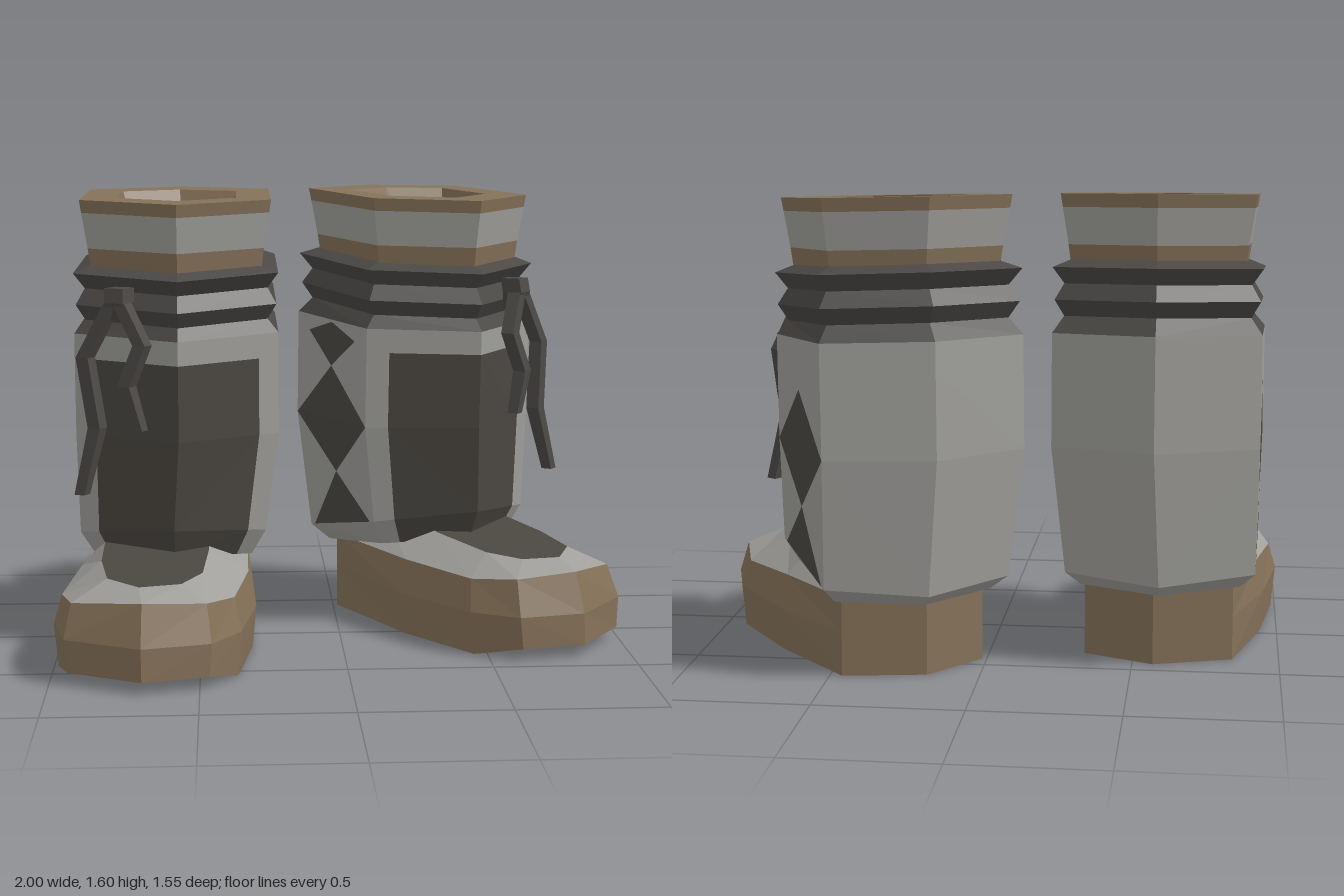
import * as THREE from 'three';

const mat = (name, color) => Object.assign(new THREE.MeshStandardMaterial({ color, flatShading: true, side: THREE.DoubleSide }), { name });
const V = (x, y, z) => new THREE.Vector3(x, y, z);
const mix = (a, b, t) => a.clone().lerp(b, t);

// Six-sided leg outline: front, inner front, inner back, back, outer back, outer front
const HEX = [[0, 0.41], [0.34, 0.2], [0.34, -0.28], [0, -0.39], [-0.34, -0.26], [-0.355, 0.2]];
const hexRing = (y, s, tilt = 0, dx = 0, dz = 0) =>
  HEX.map(([x, z]) => V(x * s + dx, y + z * s * tilt, z * s + dz));

// Foot outline at its widest, with the height of the sole's top edge at each corner
const SOLE = [[-0.12, 0.89, 0.29], [0.11, 0.83, 0.275], [0.21, 0.67, 0.26], [0.265, 0.3, 0.27], [0.24, -0.2, 0.28],
  [0, -0.31, 0.27], [-0.27, -0.22, 0.27], [-0.38, 0.15, 0.27], [-0.43, 0.52, 0.245], [-0.38, 0.75, 0.265]];
// Outline of the panel on top of the toes
const PANEL = [[-0.13, 0.72], [0.01, 0.69], [0.08, 0.57], [0.1, 0.3], [0.1, -0.1],
  [0, -0.15], [-0.2, -0.1], [-0.27, 0.15], [-0.27, 0.42], [-0.24, 0.62]];
const soleRing = (sx, sz, yOf) => SOLE.map(([x, z, top]) => (z > 0
  ? V(-0.08 + (x + 0.08) * sx, yOf(z, top), 0.1 + (z - 0.1) * sz)
  : V(x, yOf(z, top), z)));

// Triangle helpers: each returns a flat list of corners
const quad = (a, b, c, d) => [a, b, c, a, c, d];
function loft(rings) {
  const out = [];
  for (let i = 0; i + 1 < rings.length; i++) {
    const a = rings[i], b = rings[i + 1], n = a.length;
    for (let k = 0; k < n; k++) out.push(...quad(a[k], a[(k + 1) % n], b[(k + 1) % n], b[k]));
  }
  return out;
}
function cap(ring, up) {
  const c = ring.reduce((s, p) => s.add(p), V(0, 0, 0)).divideScalar(ring.length);
  return ring.flatMap((p, k) => {
    const q = ring[(k + 1) % ring.length];
    return up ? [c, p, q] : [c, q, p];
  });
}
// Square-section cord through points listed from the bottom up
function cord(points, w) {
  const rings = points.map(([x, y, z], i) => {
    const r = i === 0 ? w * 0.8 : w;
    return [[0.3, 1], [1, -0.3], [-0.3, -1], [-1, 0.3]].map(([a, b]) => V(x + a * r, y, z + b * r));
  });
  return [...cap(rings[0], false), ...loft(rings), ...cap(rings[rings.length - 1], true)];
}

function makeBoot(m, mirrored) {
  const boot = new THREE.Group();
  const add = (name, material, tris) => {
    const pos = [];
    for (let i = 0; i < tris.length; i += 3) {
      const t = mirrored ? [tris[i], tris[i + 2], tris[i + 1]] : tris.slice(i, i + 3);
      t.forEach((p) => pos.push(mirrored ? -p.x : p.x, p.y, p.z));
    }
    const g = new THREE.BufferGeometry();
    g.setAttribute('position', new THREE.Float32BufferAttribute(pos, 3));
    g.computeVertexNormals();
    const mesh = new THREE.Mesh(g, material);
    mesh.name = name;
    boot.add(mesh);
  };

  // Sole and foot
  const base = soleRing(0.96, 1, (z) => (z > 0.7 ? 0.04 : 0));
  const middle = soleRing(1, 0.99, () => 0.15);
  const rim = soleRing(0.92, 0.93, (z, top) => top);
  const panel = PANEL.map(([x, z]) => V(x, 0.38 - 0.085 * z, z));
  add('sole', m.brown, [...cap(base, false), ...loft([base, middle, rim])]);
  add('footUpper', m.grey, loft([rim, panel]));
  add('toePanel', m.dark, cap(panel, true));

  // Leg shaft, face by face
  const L0 = hexRing(0.285, 0.8, 0.13, -0.02, -0.01);
  const L1 = hexRing(0.36, 0.95, 0.19, -0.02, -0.02);
  const L2 = hexRing(0.75, 1.03, 0, 0, -0.02);
  const L3 = hexRing(1.12, 1.03, -0.05, 0, -0.01);
  const L23 = L2.map((p, k) => mix(p, L3[k], 0.76));
  const rows = [L0, L1, L2, L23, L3];
  const grey = [], dark = [], diamonds = [];
  for (let k = 0; k < 6; k++) {
    const n = (k + 1) % 6;
    if (k === 1 || k === 4) {
      // Side faces with a column of diamonds
      const [BL, BR, ML, MR, TL, TR] = [L1[k], L1[n], L2[k], L2[n], L3[k], L3[n]];
      const T = mix(mix(ML, MR, 0.5), mix(TL, TR, 0.5), 0.54);
      const B = mix(mix(ML, MR, 0.5), mix(BL, BR, 0.5), 0.5);
      grey.push(...quad(L0[k], L0[n], BR, BL));
      diamonds.push(ML, MR, T, ML, B, MR, mix(BL, BR, 0.06), mix(BL, BR, 0.94), B);
      grey.push(ML, T, TL, T, MR, TR, BL, B, ML, B, BR, MR);
      grey.push(BL, mix(BL, BR, 0.06), B, mix(BL, BR, 0.94), BR, B);
      if (k === 1) {
        const a = mix(T, TL, 0.66), b = mix(T, TR, 0.66), c = mix(T, mix(TL, TR, 0.5), 0.95);
        diamonds.push(T, b, c, T, c, a);
        grey.push(a, c, TL, c, b, TR, c, TR, TL);
      } else grey.push(T, TR, TL);
      continue;
    }
    // Front faces carry the dark panel, back faces are plain
    const front = k === 0 || k === 5;
    const cols = k === 0 ? [0, 0.8, 1] : k === 5 ? [0, 0.2, 1] : [0, 1];
    for (let r = 0; r < 4; r++) for (let c = 0; c + 1 < cols.length; c++) {
      const at = (ring, u) => mix(ring[k], ring[n], u);
      const inPanel = front && r < 3 && c === (k === 0 ? 0 : 1);
      (inPanel ? dark : grey).push(...quad(at(rows[r], cols[c]), at(rows[r], cols[c + 1]),
        at(rows[r + 1], cols[c + 1]), at(rows[r + 1], cols[c])));
    }
  }
  add('shaft', m.grey, grey);
  add('frontPanel', m.dark, dark);
  add('sideDiamonds', m.dark, diamonds);

  // Gathered bands above the shaft
  const folds = [[1.17, 0.92], [1.225, 1.01], [1.28, 0.92], [1.335, 1.03], [1.36, 0.86]]
    .map(([y, s]) => hexRing(y, s, -0.07));
  add('gatheredBands', m.trim, loft([L3, ...folds]));

  // Cuff with brown edges and a hollow top
  const c = [[1.345, 0.86], [1.415, 0.885], [1.54, 0.94], [1.585, 0.96]]
    .map(([y, s]) => hexRing(y, s, -0.05, 0, 0.01));
  const mouth = hexRing(1.585, 0.6, -0.05, 0, 0);
  const floor = hexRing(1.31, 0.46, 0, 0.02, 0.07);
  add('cuffBottomEdge', m.brown, loft([c[0], c[1]]));
  add('cuff', m.grey, loft([c[1], c[2]]));
  add('cuffTopEdge', m.brown, loft([c[2], c[3], mouth]));
  add('cuffHollow', m.brown, [...loft([mouth, floor]), ...cap(floor, true)]);

  // Knot and hanging cords
  add('knot', m.trim, cord([[-0.2, 1.17, 0.33], [-0.2, 1.23, 0.345], [-0.2, 1.28, 0.33]], 0.05));
  add('longCord', m.trim, cord([[-0.335, 0.57, 0.375], [-0.28, 0.8, 0.36], [-0.32, 1.04, 0.32], [-0.22, 1.23, 0.34]], 0.033));
  add('shortCord', m.trim, cord([[-0.13, 0.8, 0.44], [-0.175, 0.95, 0.42], [-0.12, 1.09, 0.42], [-0.19, 1.23, 0.36]], 0.033));
  return boot;
}

export function createModel() {
  const m = {
    brown: mat('brown leather', 0x857158),
    grey: mat('light grey hide', 0xa09f9b),
    dark: mat('dark panel', 0x4b4741),
    trim: mat('dark trim', 0x4b4845),
  };
  const model = new THREE.Group();
  const right = makeBoot(m, false);
  right.name = 'rightBoot';
  right.position.set(-0.57, 0, -0.12);
  const left = makeBoot(m, true);
  left.name = 'leftBoot';
  left.position.set(0.32, 0, -0.36);
  left.rotation.y = THREE.MathUtils.degToRad(27.5);
  model.add(right, left);
  return model;
}
